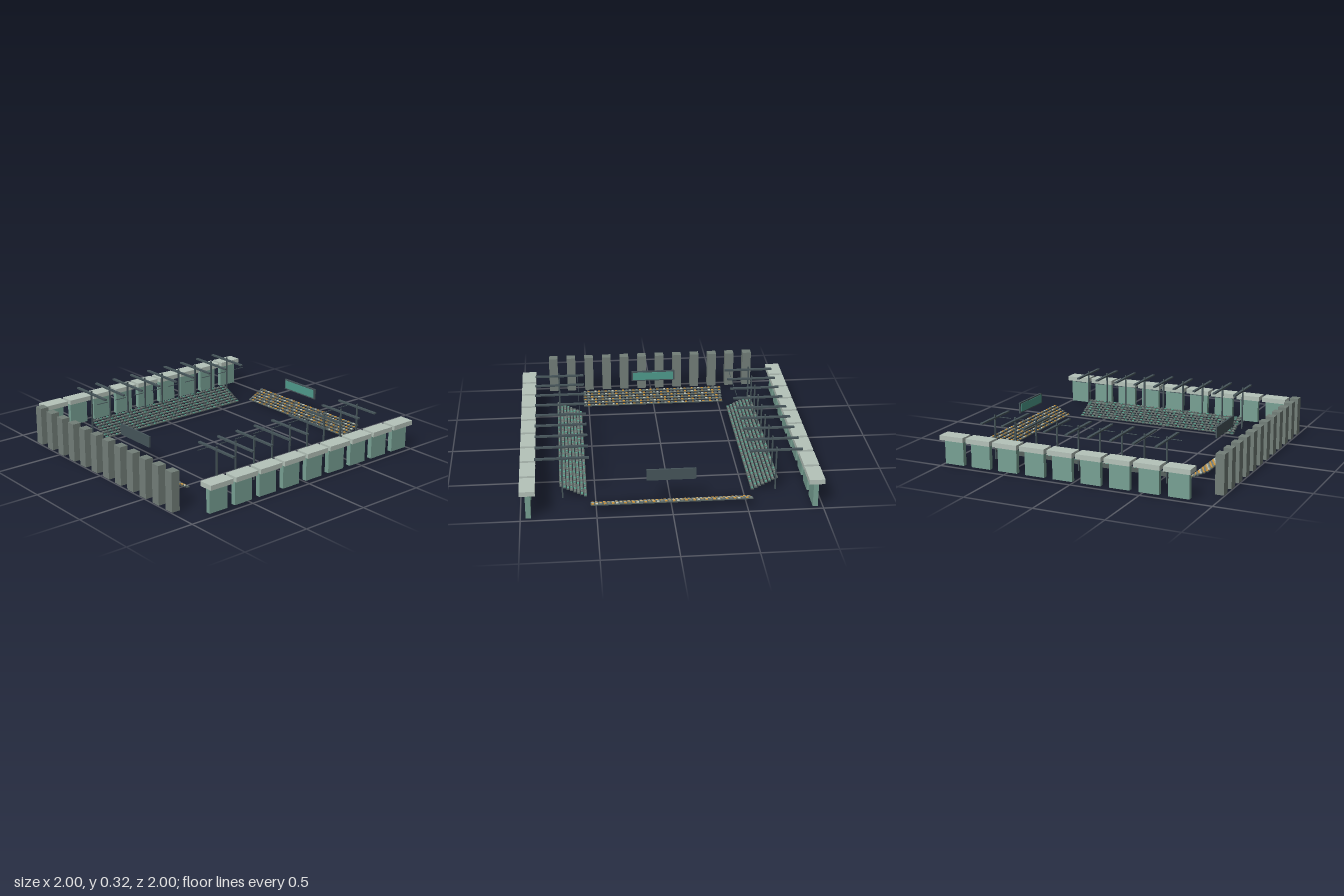
import * as THREE from 'three';
import { mergeGeometries } from 'three/addons/utils/BufferGeometryUtils.js';

const mat = (name, color) => {
  const m = new THREE.MeshStandardMaterial({ color });
  m.name = name;
  return m;
};

// box geometry given by centre and size
const box = (x, y, z, w, h, d) => new THREE.BoxGeometry(w, h, d).translate(x, y, z);

const range = (n, fn) => Array.from({ length: n }, (_, i) => fn(i));

function addPart(group, name, geometries, material) {
  const mesh = new THREE.Mesh(mergeGeometries(geometries), material);
  mesh.name = name;
  group.add(mesh);
}

// Stepped seating: rows run along local x and climb towards local +z
function makeStand(name, length, rows, seatCount, plankMat, seatMats) {
  const stand = new THREE.Group();
  stand.name = name;
  const run = 0.0232, rise = 0.0115;
  addPart(stand, 'planks', range(rows, r =>
    box(0, 0.003 + r * rise, (r + 0.5) * run, length, 0.006, run - 0.002)), plankMat);

  const seats = seatMats.map(() => []);
  const pitch = length / seatCount;
  for (let r = 0; r < rows; r++) {
    for (let i = 0; i < seatCount; i++) {
      const x = (i + 0.5 - seatCount / 2) * pitch;
      seats[(i + r * 2) % seatMats.length].push(
        box(x, 0.008 + r * rise, (r + 0.5) * run, pitch * 0.62, 0.006, 0.012));
    }
  }
  seats.forEach((s, k) => addPart(stand, 'seats' + (k + 1), s, seatMats[k]));
  return stand;
}

// Hanging board with a bright screen on its local +z face
function makeScoreboard(name, frameMat, screenMat) {
  const board = new THREE.Group();
  board.name = name;
  addPart(board, 'boardCase', [box(0, 0.222, 0, 0.33, 0.08, 0.012)], frameMat);
  addPart(board, 'screen', [box(0, 0.222, 0.0075, 0.306, 0.06, 0.004)], screenMat);
  return board;
}

export function createModel() {
  const model = new THREE.Group();
  model.name = 'stadium';

  const green = mat('wall green', 0x78a194);
  const pale = mat('pale concrete', 0xb5c3ba);
  const stone = mat('grey stone', 0x737f79);
  const steel = mat('dark steel', 0x46555a);
  const plank = mat('stand grey', 0x56625f);
  const teal = mat('seat teal', 0x5ba38f);
  const greySeat = mat('seat grey', 0x74807c);
  const orange = mat('seat orange', 0xd0983f);
  const cream = mat('seat cream', 0xc3cbbf);
  const screen = mat('screen teal', 0x4f9c8d);

  const midZ = -0.077;

  // Both long sides
  for (const s of [1, -1]) {
    const side = new THREE.Group();
    side.name = s > 0 ? 'leftSide' : 'rightSide';
    model.add(side);

    // outer wall panels with cap slabs
    const wallZ = range(9, i => -0.908 + i * 0.2082);
    addPart(side, 'outerWalls', wallZ.map(z => box(s * 0.947, 0.096, z, 0.034, 0.176, 0.145)), green);
    addPart(side, 'wallCaps', wallZ.map(z => box(s * 0.948, 0.2, z, 0.104, 0.034, 0.184)), pale);

    // roof frames: post, cross beam and hanging rod
    const frameZ = range(9, i => midZ + (i - 4) * 0.162);
    addPart(side, 'posts', frameZ.map(z => box(s * 0.72, 0.165, z, 0.01, 0.32, 0.01)), steel);
    addPart(side, 'roofBeams', frameZ.map(z => box(s * 0.717, 0.303, z, 0.36, 0.011, 0.02)), steel);
    addPart(side, 'lightRods', frameZ.map(z => box(s * 0.58, 0.267, z, 0.004, 0.004, 0.092)), steel);

    // long stand climbing outwards
    const stand = makeStand('longStand', 1.28, 8, 44, plank, [teal, greySeat, greySeat, teal, greySeat]);
    stand.rotation.y = s * Math.PI / 2;
    stand.position.set(s * 0.555, 0, midZ);
    side.add(stand);
  }

  // Both ends: short stand climbing outwards and an inward-facing scoreboard
  for (const s of [1, -1]) {
    const stand = makeStand(s > 0 ? 'frontStand' : 'backStand', 1.075, 6, 40, plank,
      [orange, cream, greySeat, orange, greySeat]);
    stand.rotation.y = s > 0 ? 0 : Math.PI;
    stand.position.z = s > 0 ? 0.652 : -0.802;
    model.add(stand);

    const board = makeScoreboard(s > 0 ? 'frontScoreboard' : 'backScoreboard', steel, screen);
    board.rotation.y = s > 0 ? Math.PI : 0;
    board.position.z = s > 0 ? 0.7 : -0.85;
    model.add(board);
  }

  // Row of entrance pillars
  addPart(model, 'entrancePillars', range(12, i =>
    box((i - 5.5) * 0.1387, 0.143, 0.969, 0.067, 0.274, 0.062)), stone);

  return model;
}
